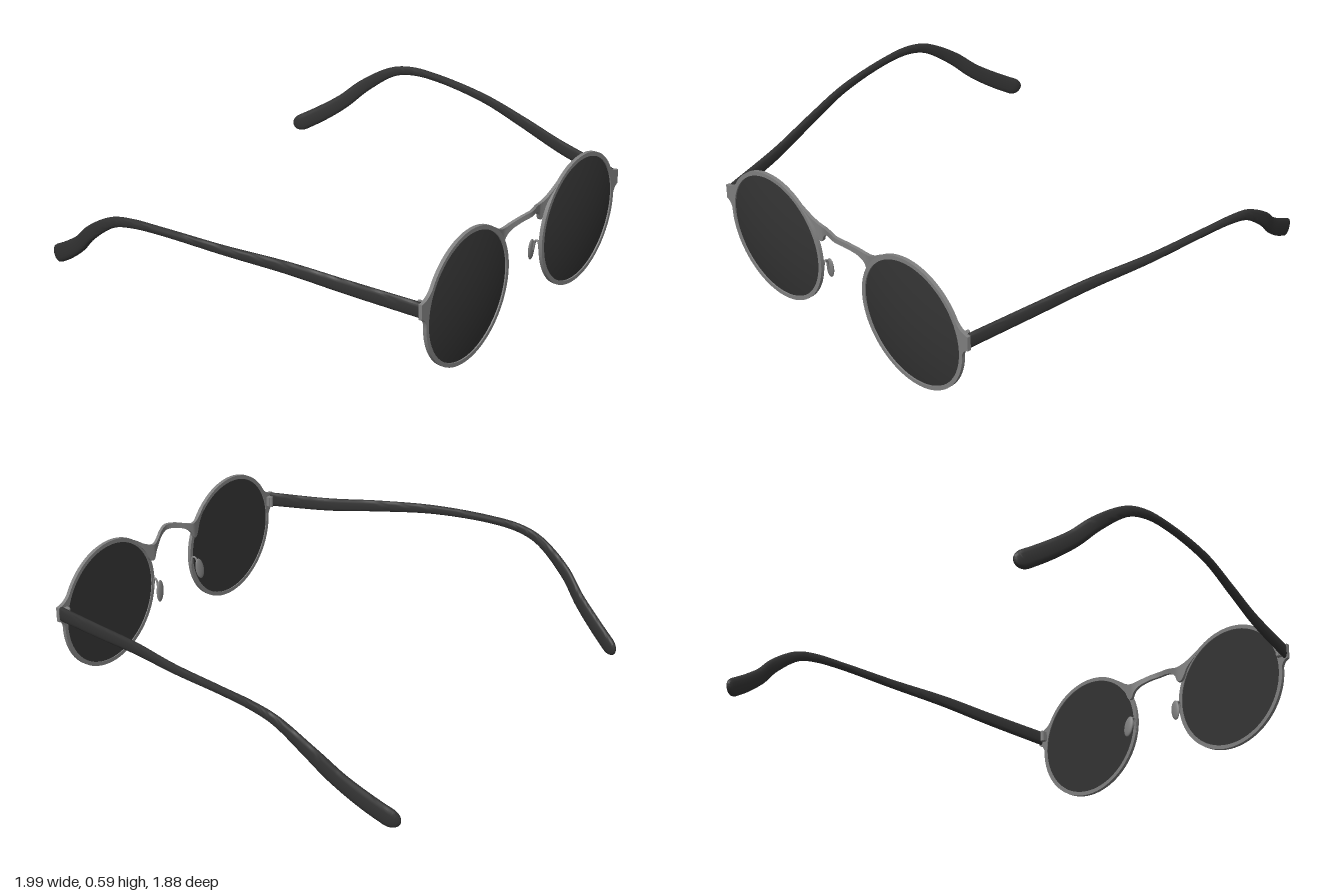
import * as THREE from 'three';
import { toCreasedNormals } from 'three/addons/utils/BufferGeometryUtils.js';

const CX = 0.42, CY = 0.298, R_OUT = 0.293, R_IN = 0.275;
const V = (x, y, z) => new THREE.Vector3(x, y, z);

// Skin a list of equal-length rings and cap both ends
function loft(rings, crease) {
  const pos = [];
  const tri = (...pts) => pts.forEach((p) => pos.push(p.x, p.y, p.z));
  const n = rings[0].length;
  for (let i = 0; i < rings.length - 1; i++) {
    for (let j = 0; j < n; j++) {
      const k = (j + 1) % n, a = rings[i], b = rings[i + 1];
      tri(a[j], a[k], b[k]);
      tri(a[j], b[k], b[j]);
    }
  }
  const first = rings[0], last = rings[rings.length - 1];
  for (let j = 1; j < n - 1; j++) {
    tri(first[0], first[j + 1], first[j]);
    tri(last[0], last[j], last[j + 1]);
  }
  const geo = new THREE.BufferGeometry();
  geo.setAttribute('position', new THREE.Float32BufferAttribute(pos, 3));
  return toCreasedNormals(geo, crease);
}

// Flat ring with a flared tab on its outer side
function rimGeometry(s) {
  const outline = new THREE.Shape();
  outline.absarc(CX, CY, R_OUT, 0.52, Math.PI * 2 + 0.02, false);
  outline.quadraticCurveTo(0.722, 0.335, 0.745, 0.338);
  outline.lineTo(0.745, 0.405);
  outline.quadraticCurveTo(0.7, 0.408, CX + R_OUT * Math.cos(0.52), CY + R_OUT * Math.sin(0.52));
  const opening = new THREE.Path().absarc(CX, CY, R_IN, 0, Math.PI * 2, true);
  const flip = (pts) => pts.map((p) => new THREE.Vector2(p.x * s, p.y));
  const shape = new THREE.Shape(flip(outline.getPoints(40)));
  shape.holes.push(new THREE.Path(flip(opening.getPoints(40))));
  const geo = new THREE.ExtrudeGeometry(shape, { depth: 0.016, bevelEnabled: false });
  geo.translate(0, 0, 0.899);
  return toCreasedNormals(geo, 0.6);
}

// Disc with a flat back and a gently domed front
function lensGeometry(s) {
  const profile = [new THREE.Vector2(0, 0.903), new THREE.Vector2(0.28, 0.903)];
  for (let i = 0; i <= 12; i++) {
    const r = 1 - i / 12;
    profile.push(new THREE.Vector2(0.28 * r, 0.908 + 0.028 * (1 - r * r)));
  }
  const geo = new THREE.LatheGeometry(profile, 64).rotateX(Math.PI / 2);
  geo.translate(s * CX, CY, 0);
  return toCreasedNormals(geo, 0.6);
}

// Bridge: columns of x, top edge, bottom edge and depth, mirrored about the middle
function bridgeGeometry() {
  const half = [
    [0.27, 0.546, 0.538, 0.907], [0.23, 0.524, 0.505, 0.904], [0.19, 0.496, 0.462, 0.896],
    [0.16, 0.481, 0.405, 0.890], [0.14, 0.476, 0.402, 0.887], [0.125, 0.477, 0.432, 0.889],
    [0.1, 0.485, 0.456, 0.897], [0.05, 0.502, 0.478, 0.918], [0, 0.509, 0.485, 0.931],
  ];
  const cols = [...half.map(([x, ...r]) => [-x, ...r]), ...half.slice(0, -1).reverse()];
  const tops = new THREE.CatmullRomCurve3(cols.map((c) => V(c[0], c[1], c[3])));
  const bottoms = new THREE.CatmullRomCurve3(cols.map((c) => V(c[0], c[2], c[3])));
  const rings = [];
  for (let i = 0; i <= 64; i++) {
    const t = tops.getPoint(i / 64), b = bottoms.getPoint(i / 64), d = 0.007;
    rings.push([V(b.x, b.y, b.z - d), V(t.x, t.y, t.z - d), V(t.x, t.y, t.z + d), V(b.x, b.y, b.z + d)]);
  }
  return loft(rings, 0.7);
}

// Temple arm: bowed outward, dropping behind the ear to a wide rounded tip
function armGeometry(s) {
  // x, y, z, half thickness, half height
  const keys = [
    [0.731, 0.373, 0.9, 0.012, 0.034], [0.795, 0.402, 0.6, 0.012, 0.031],
    [0.858, 0.436, 0.36, 0.012, 0.027], [0.93, 0.462, 0.1, 0.012, 0.021],
    [0.972, 0.475, -0.18, 0.012, 0.018], [0.983, 0.468, -0.34, 0.012, 0.02],
    [0.978, 0.438, -0.45, 0.013, 0.023], [0.955, 0.335, -0.6, 0.014, 0.031],
    [0.92, 0.24, -0.7, 0.015, 0.035], [0.883, 0.158, -0.81, 0.016, 0.039],
    [0.838, 0.078, -0.937, 0.016, 0.041],
  ];
  const path = new THREE.CatmullRomCurve3(keys.map((k) => V(s * k[0], k[1], k[2])));
  const size = new THREE.CatmullRomCurve3(keys.map((k, i) => V(k[3], k[4], i * 0.1)));
  const rings = [], steps = 90, sides = 16, tipStart = 0.965;
  for (let i = 0; i <= steps; i++) {
    // steps bunch up towards the tip so it rounds off evenly
    const t = i < 70 ? (tipStart * i) / 70 : tipStart + (1 - tipStart) * Math.sin(((i - 70) / 20) * Math.PI / 2);
    const u = Math.max(0, (t - tipStart) / (1 - tipStart));
    const k = Math.max(0.02, Math.sqrt(Math.max(0, 1 - u * u)));
    const c = path.getPoint(t), T = path.getTangent(t), w = size.getPoint(t);
    const N = V(0, 1, 0).cross(T).normalize(), B = T.clone().cross(N);
    const ring = [];
    for (let j = 0; j < sides; j++) {
      const a = (j / sides) * Math.PI * 2;
      const soft = (v) => Math.sign(v) * Math.abs(v) ** 0.75;
      ring.push(c.clone().addScaledVector(N, soft(Math.cos(a)) * w.x * k)
        .addScaledVector(B, soft(Math.sin(a)) * w.y * k));
    }
    rings.push(ring);
  }
  return loft(rings, 0.9);
}

export function createModel() {
  const model = new THREE.Group();
  const metal = new THREE.MeshStandardMaterial({ color: 0x808080 });
  metal.name = 'greyMetal';
  const tint = new THREE.MeshStandardMaterial({ color: 0x333333 });
  tint.name = 'darkTint';
  const add = (name, geo, mat) => {
    const mesh = new THREE.Mesh(geo, mat);
    mesh.name = name;
    model.add(mesh);
    return mesh;
  };

  add('bridge', bridgeGeometry(), metal);

  for (const [side, s] of [['left', 1], ['right', -1]]) {
    add(side + 'Rim', rimGeometry(s), metal);
    add(side + 'Lens', lensGeometry(s), tint);
    add(side + 'Arm', armGeometry(s), tint);

    // Hinge: leaf on the tab and upright barrel
    add(side + 'HingeLeaf', new THREE.BoxGeometry(0.022, 0.045, 0.02), metal).position.set(s * 0.708, 0.373, 0.89);
    add(side + 'HingeBarrel', new THREE.CylinderGeometry(0.008, 0.008, 0.05, 16), metal).position.set(s * 0.708, 0.373, 0.878);

    // Nose pad on a looped wire
    const wire = new THREE.CatmullRomCurve3([
      V(s * 0.137, 0.235, 0.905), V(s * 0.134, 0.27, 0.9), V(s * 0.135, 0.302, 0.892),
      V(s * 0.138, 0.3, 0.878), V(s * 0.14, 0.255, 0.866),
    ]);
    add(side + 'PadWire', new THREE.TubeGeometry(wire, 24, 0.005, 8), metal);
    const pad = add(side + 'NosePad', new THREE.SphereGeometry(1, 24, 16), metal);
    pad.scale.set(0.024, 0.051, 0.009);
    pad.position.set(s * 0.14, 0.252, 0.857);
    pad.rotation.set(0.08, s * 0.1, s * 0.15);
  }
  return model;
}
